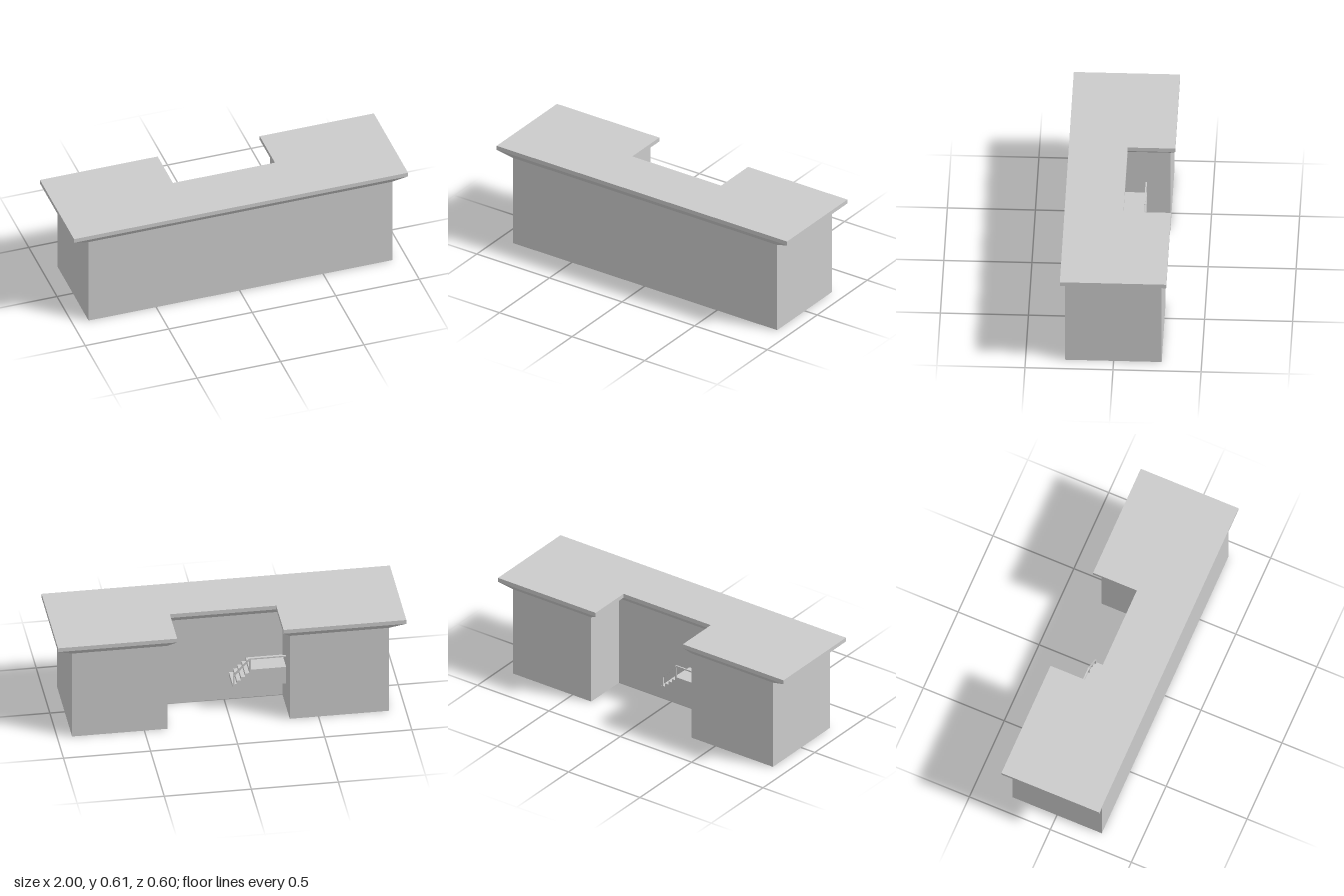
import * as THREE from 'three';

const material = new THREE.MeshStandardMaterial({ color: 0xcccccc, flatShading: true });

// U-shaped plan as [x, z] corners, with the recess open to the back
const plan = (x0, x1, back, front, n0, n1, nz) => [
  [x0, front], [x1, front], [x1, back], [n1, back],
  [n1, nz], [n0, nz], [n0, back], [x0, back],
];

const shapeOf = (pts) => new THREE.Shape(pts.map(([a, b]) => new THREE.Vector2(a, b)));

function slab(pts, y, height) {
  const g = new THREE.ExtrudeGeometry(shapeOf(pts.map(([x, z]) => [x, -z])), { depth: height, bevelEnabled: false });
  return g.rotateX(-Math.PI / 2).translate(0, y, 0);
}

// Sloping band joining two outlines that have matching corners
function band(lower, yLow, upper, yHigh) {
  const pos = [];
  lower.forEach((p, i) => {
    const j = (i + 1) % lower.length;
    const a = [p[0], yLow, p[1]], b = [lower[j][0], yLow, lower[j][1]];
    const c = [upper[j][0], yHigh, upper[j][1]], d = [upper[i][0], yHigh, upper[i][1]];
    pos.push(...a, ...b, ...c, ...a, ...c, ...d);
  });
  const g = new THREE.BufferGeometry();
  g.setAttribute('position', new THREE.Float32BufferAttribute(pos, 3));
  g.computeVertexNormals();
  return g;
}

export function createModel() {
  const model = new THREE.Group();
  const add = (name, geometry, parent = model) => {
    const mesh = new THREE.Mesh(geometry, material);
    mesh.name = name;
    parent.add(mesh);
    return mesh;
  };

  // Building body and roof
  const wallPlan = plan(-0.905, 0.915, -0.273, 0.277, -0.335, 0.368, -0.003);
  const roofPlan = plan(-1, 1, -0.302, 0.302, -0.295, 0.316, -0.032);
  add('walls', slab(wallPlan, 0, 0.55));
  add('eaves', band(wallPlan, 0.55, roofPlan, 0.585));
  add('roof', slab(roofPlan, 0.585, 0.025));

  // Raised stair and landing in the corner of the recess
  const stairs = new THREE.Group();
  stairs.name = 'stairs';
  model.add(stairs);
  const base = 0.155, rise = 0.022, run = 0.024, foot = -0.028, steps = 4;
  const profile = [[-0.335, base], [foot, base]];
  for (let i = 0; i <= steps; i++) {
    const x = foot - i * run;
    if (i > 0) profile.push([x, base + i * rise]);
    profile.push([x, base + (i + 1) * rise]);
  }
  const top = base + (steps + 1) * rise;
  profile.push([-0.335, top]);
  add('stepsAndLanding', new THREE.ExtrudeGeometry(shapeOf(profile), { depth: 0.137, bevelEnabled: false })
    .translate(0, 0, -0.14), stairs);

  // Handrail along the open side
  const t = 0.008, zRail = -0.14 + t / 2;
  const bar = (name, x0, y0, x1, y1) => {
    const m = add(name, new THREE.BoxGeometry(Math.hypot(x1 - x0, y1 - y0), t, t), stairs);
    m.position.set((x0 + x1) / 2, (y0 + y1) / 2, zRail);
    m.rotation.z = Math.atan2(y1 - y0, x1 - x0);
  };
  const xLow = foot - 0.006, xHigh = foot - steps * run - 0.004;
  const yLow = base + rise + 0.055, yHigh = top + 0.07;
  bar('slopedRail', xLow, yLow, xHigh, yHigh);
  bar('landingRail', xHigh, yHigh, -0.335, yHigh);
  bar('lowerPost', xLow, base + rise, xLow, yLow);
  bar('upperPost', xHigh, top, xHigh, yHigh);

  return model;
}
